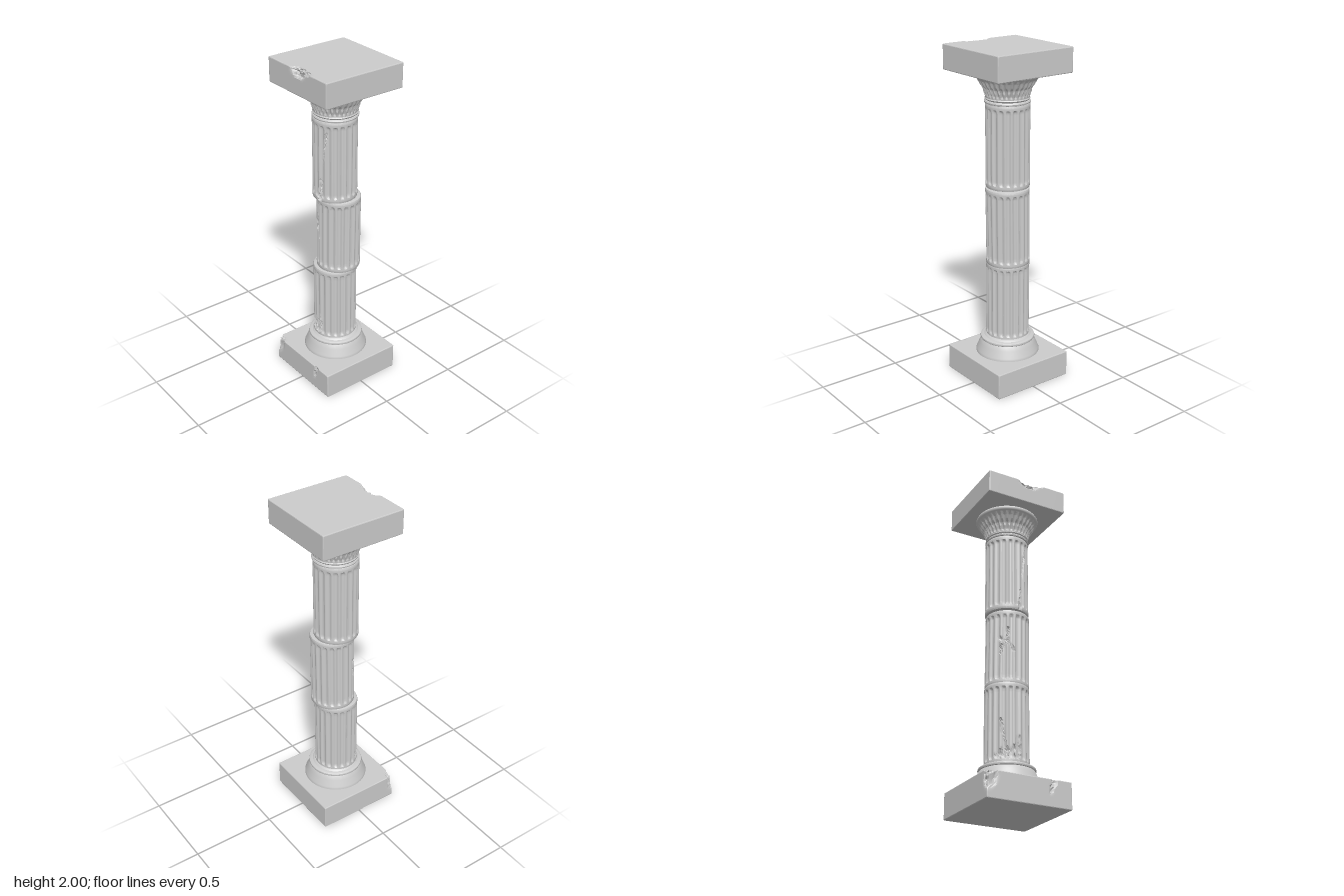
import * as THREE from 'three';
import { mergeVertices, toCreasedNormals } from 'three/addons/utils/BufferGeometryUtils.js';

const material = new THREE.MeshStandardMaterial({ color: 0xcccccc });
const clamp = THREE.MathUtils.clamp;

// Repeatable noise in 0..1, taken from a position
function noise(x, y, z) {
  const s = Math.sin(Math.round(x * 500) * 12.99 + Math.round(y * 500) * 78.23 + Math.round(z * 500) * 37.72) * 43758.5;
  return s - Math.floor(s);
}

// Moves every vertex by a rule, then rebuilds normals
function deform(geometry, rule, crease = 0.6) {
  geometry.deleteAttribute('uv');
  geometry.deleteAttribute('normal');
  const pos = geometry.attributes.position;
  const v = new THREE.Vector3();
  for (let i = 0; i < pos.count; i++) {
    rule(v.fromBufferAttribute(pos, i));
    pos.setXYZ(i, v.x, v.y, v.z);
  }
  return toCreasedNormals(mergeVertices(geometry, 1e-5), crease);
}

function addMesh(group, name, geometry) {
  const mesh = new THREE.Mesh(geometry, material);
  mesh.name = name;
  group.add(mesh);
  return mesh;
}

const lathe = (points, sides) =>
  new THREE.LatheGeometry(points.map(([r, y]) => new THREE.Vector2(r, y)), sides);

// Distance from a point to a polyline in the plane
function lineDistance(px, py, line) {
  let best = Infinity;
  for (let i = 0; i < line.length - 1; i++) {
    const [ax, ay] = line[i], dx = line[i + 1][0] - ax, dy = line[i + 1][1] - ay;
    const t = clamp(((px - ax) * dx + (py - ay) * dy) / (dx * dx + dy * dy), 0, 1);
    best = Math.min(best, Math.hypot(px - ax - t * dx, py - ay - t * dy));
  }
  return best;
}

// Square slab with chamfered edges; chips are broken-out hollows
function slab(y0, y1, chips) {
  const half = [0.257, (y1 - y0) / 2, 0.257], segs = [50, 14, 50], bevel = 0.005;
  const geometry = new THREE.BoxGeometry(...half.map((h) => h * 2), ...segs);
  return deform(geometry, (v) => {
    const p = v.toArray().map((c, i) => {
      const ring = half[i] * (1 - 2 / segs[i]);
      return Math.abs(c) > ring + 1e-4 ? c : c * (half[i] - bevel) / ring;
    });
    const inner = p.map((c, i) => clamp(c, bevel - half[i], half[i] - bevel));
    const out = p.map((c, i) => c - inner[i]);
    const length = Math.hypot(...out) || 1;
    v.fromArray(inner.map((c, i) => c + out[i] / length * Math.min(length, bevel)));
    v.y += (y0 + y1) / 2;
    for (const { at, size, push } of chips) {
      const d = Math.hypot(...at.map((c, i) => (v.getComponent(i) - c) / size[i]));
      if (d >= 1) continue;
      const k = Math.min(1, 2 * (1 - d)) * (0.45 + 0.55 * noise(v.x, v.y, v.z));
      v.x += push[0] * k;
      v.y += push[1] * k;
      v.z += push[2] * k;
    }
  }, 0.3);
}

// Fluted drum; damage is a list of cracks drawn on the front as [x, y]
const R = 0.128, FLUTES = 20;
function drum(y0, y1, damage) {
  const rows = 54, lip = 0.008;
  const points = [[0, y0], [R - lip, y0], [R - lip * 0.3, y0 + lip * 0.3]];
  for (let i = 0; i <= rows; i++) points.push([R, y0 + lip + (y1 - y0 - 2 * lip) * i / rows]);
  points.push([R - lip * 0.3, y1 - lip * 0.3], [R - lip, y1], [0, y1]);
  const pitch = 2 * Math.PI * R / FLUTES, width = pitch * 0.34;
  const cracks = damage.map((d) => ({ ...d, line: d.line.map(([x, y]) => [Math.asin(x / R) * R, y]) }));
  return deform(lathe(points, 180), (v) => {
    const r = Math.hypot(v.x, v.z);
    if (r < R - 1e-4) return;
    const arc = Math.atan2(v.x, v.z) * R;
    // Round-ended flutes
    const u = arc - Math.round(arc / pitch) * pitch;
    const over = Math.max(0, y0 + 0.042 - v.y, v.y - y1 + 0.042);
    const q = Math.hypot(u, over) / width;
    let cut = q < 1 ? 0.011 * Math.sqrt(1 - q * q) : 0;
    // Cracks and broken patches
    for (const { line, width: w, depth } of cracks) {
      const d = lineDistance(arc, v.y, line) / w;
      const n = noise(v.x, v.y, v.z);
      if (d < 0.6 + 0.4 * n) cut = Math.max(cut, depth * (1 - d * 0.6) * (0.5 + 0.5 * n));
    }
    v.x *= (r - cut) / r;
    v.z *= (r - cut) / r;
  });
}

// Flared capital carved with two rows of upright leaves
function capital() {
  const points = [[0, 1.66], [0.122, 1.66], [0.122, 1.682], [0.13, 1.685], [0.132, 1.692], [0.128, 1.699],
    [0.123, 1.701], [0.127, 1.704], [0.129, 1.709], [0.125, 1.715]];
  const rows = 26;
  for (let i = 1; i <= rows; i++) {
    const t = i / rows;
    points.push([0.125 + 0.053 * Math.pow(t, 1.25), 1.715 + 0.115 * t]);
  }
  points.push([0.184, 1.833], [0.188, 1.84], [0.188, 1.85], [0.184, 1.857], [0, 1.857]);
  const leaves = 32;
  return deform(lathe(points, 256), (v) => {
    const t = (v.y - 1.718) / 0.11;
    if (t <= 0 || t >= 1) return;
    const a = Math.atan2(v.x, v.z) * leaves / (2 * Math.PI);
    const groove = (s, from, to) => {
      const u = Math.abs(s - Math.round(s)) / 0.28;
      const k = (t - from) / (to - from);
      return k > 0 && k < 1 && u < 1 ? Math.sqrt(1 - u * u) * Math.min(1, 5 * k, 5 * (1 - k)) : 0;
    };
    const cut = 0.009 * Math.max(groove(a, 0.3, 1), groove(a + 0.5, 0.02, 0.6));
    const r = Math.hypot(v.x, v.z);
    v.x *= (r - cut) / r;
    v.z *= (r - cut) / r;
  });
}

export function createModel() {
  const column = new THREE.Group();
  column.name = 'column';

  // Plinth and top slab
  addMesh(column, 'plinth', slab(0, 0.155, [
    { at: [-0.257, 0.13, 0.257], size: [0.07, 0.085, 0.04], push: [0.016, -0.01, -0.016] },
    { at: [0.145, 0.145, 0.257], size: [0.018, 0.04, 0.03], push: [0, 0, -0.012] },
    { at: [0.13, 0.1, 0.257], size: [0.014, 0.03, 0.02], push: [0, 0, -0.01] },
  ]));
  addMesh(column, 'topSlab', slab(1.855, 2, [
    { at: [0.015, 2, 0.257], size: [0.075, 0.048, 0.035], push: [0, -0.016, -0.028] },
    { at: [0.08, 2, 0.257], size: [0.035, 0.015, 0.03], push: [0, -0.006, -0.02] },
  ]));

  // Flared foot with a rounded collar
  const foot = [[0, 0.15], [0.19, 0.15], [0.19, 0.16], [0.186, 0.17], [0.178, 0.19], [0.169, 0.212],
    [0.161, 0.232], [0.157, 0.238], [0.161, 0.241], [0.163, 0.247], [0.161, 0.254], [0.155, 0.258],
    [0.14, 0.26], [0.134, 0.266], [0.126, 0.27], [0, 0.27]];
  addMesh(column, 'foot', deform(lathe(foot, 72), () => {}));

  // Three drums, the middle one slipped out of line
  const lower = addMesh(column, 'lowerDrum', drum(0.255, 0.732, [
    { line: [[-0.095, 0.3], [-0.07, 0.36], [-0.085, 0.5]], width: 0.014, depth: 0.018 },
    { line: [[-0.1, 0.31], [-0.04, 0.33], [0.015, 0.35]], width: 0.028, depth: 0.017 },
    { line: [[-0.05, 0.3], [0.01, 0.3], [0.01, 0.41]], width: 0.014, depth: 0.016 },
  ]));
  const middle = addMesh(column, 'middleDrum', drum(0.73, 1.192, [
    { line: [[-0.1, 0.92], [-0.07, 0.99], [-0.055, 1.07]], width: 0.016, depth: 0.018 },
    { line: [[-0.1, 1.01], [-0.05, 1.0], [-0.03, 0.94]], width: 0.016, depth: 0.017 },
  ]));
  const upper = addMesh(column, 'upperDrum', drum(1.19, 1.682, [
    { line: [[0.07, 1.62], [0.05, 1.52], [0.04, 1.42]], width: 0.01, depth: 0.015 },
    { line: [[0.02, 1.2], [0.03, 1.25], [0.035, 1.32]], width: 0.018, depth: 0.018 },
  ]));
  for (const d of [lower, upper]) d.position.set(-0.003, 0, 0.002);
  middle.position.set(0.001, 0, -0.015);
  middle.rotation.z = -0.009;

  addMesh(column, 'capital', capital());
  return column;
}
